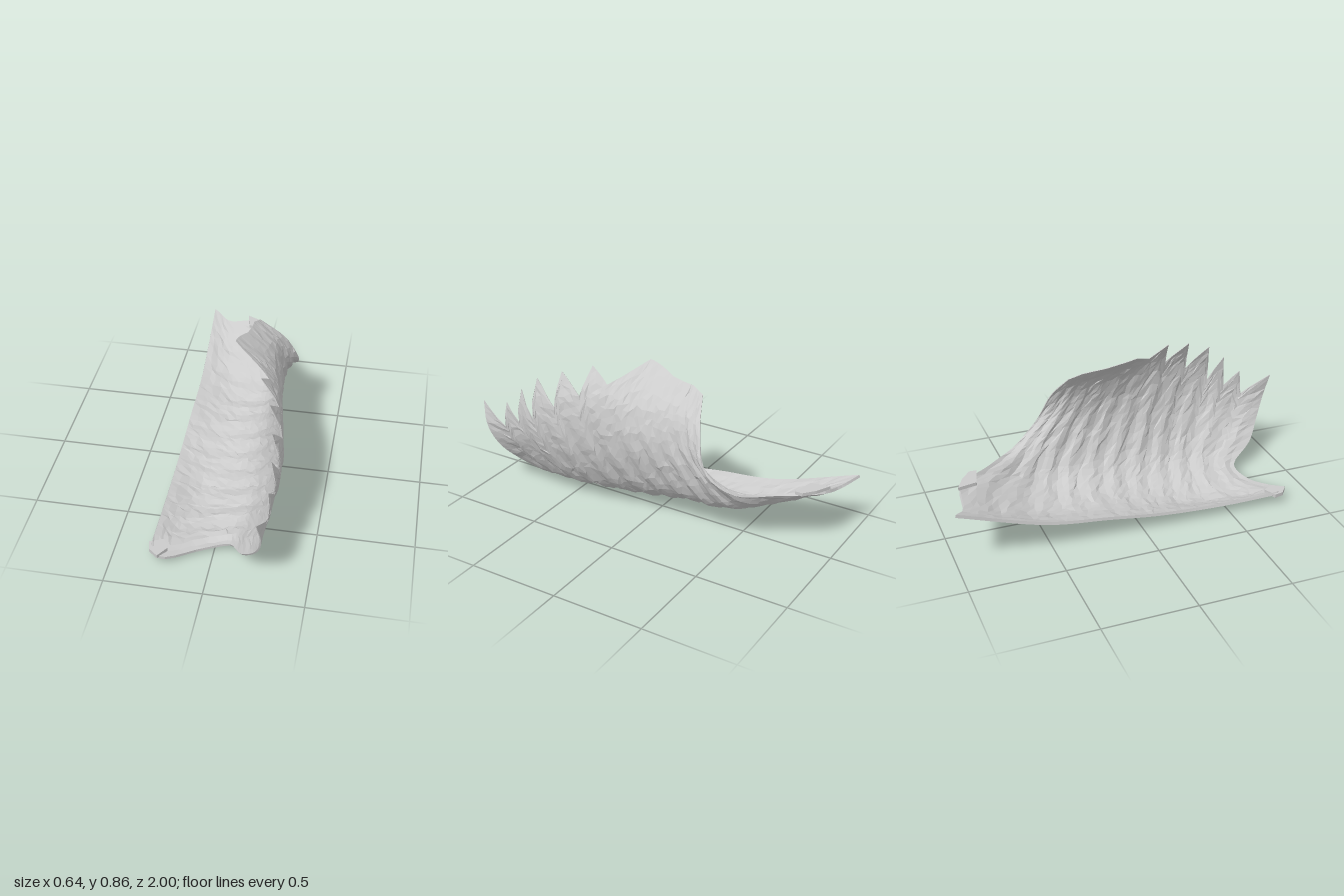
import * as THREE from 'three';

// Cross-sections from front rim to back rim; each runs from the low inner edge out, round and up to the tip
const SECTIONS = [
  [[-.31, .06, .78], [-.25, .04, .84], [-.06, .02, .73], [.08, .05, .70], [.17, .14, .84], [.25, .25, .92], [.28, .37, .97], [.26, .50, 1]],
  [[-.31, .06, .45], [-.15, .005, .40], [0, .035, .40], [.15, .11, .43], [.26, .27, .50], [.31, .44, .56], [.31, .59, .60], [.27, .73, .61]],
  [[-.31, .08, .10], [-.15, .045, .10], [0, .06, .10], [.13, .14, .13], [.23, .32, .20], [.27, .50, .26], [.26, .68, .30], [.17, .83, .32]],
  [[-.31, .12, -.20], [-.15, .09, -.20], [0, .11, -.20], [.12, .18, -.17], [.20, .34, -.10], [.23, .53, -.02], [.18, .70, .04], [0, .86, .07]],
  [[-.31, .17, -.55], [-.15, .13, -.55], [0, .15, -.50], [.12, .20, -.45], [.20, .36, -.35], [.21, .52, -.25], [.17, .67, -.20], [.04, .81, -.17]],
  [[-.32, .32, -1], [-.22, .285, -.94], [-.05, .325, -.91], [.10, .33, -.72], [.22, .34, -.55], [.27, .45, -.41], [.20, .63, -.34], [.07, .77, -.28]],
];

// Jagged upper edge: [position along the sections, reach of the edge], alternating tips and notches
const EDGE = [[0, 1], [.33, .80], [.44, .93], [.62, .79], [.72, .97], [.90, .78], [1, 1], [1.35, .83],
  [1.45, 1], [1.85, .87], [2, 1], [2.35, .91], [2.6, .94], [3, 1], [3.6, .98], [4.3, 1], [5, 1]];

const ROWS = 30;
const THICKNESS = 0.016;

function seeded(seed) {
  return () => (seed = (seed * 16807) % 2147483647) / 2147483647;
}

const curves = SECTIONS.map(s => new THREE.CatmullRomCurve3(s.map(p => new THREE.Vector3(...p)), false, 'centripetal'));

// Point on the smooth sheet: s = 0..5 front to back, v = 0..1 inner edge to tip
function sheetPoint(s, v) {
  const across = new THREE.CatmullRomCurve3(curves.map(c => c.getPoint(v)), false, 'catmullrom', 0.5);
  return across.getPoint(THREE.MathUtils.clamp(s / 5, 0, 1));
}

function sheetNormal(s, v) {
  const e = 0.01;
  const ds = sheetPoint(Math.min(s + e, 5), v).sub(sheetPoint(Math.max(s - e, 0), v));
  const dv = sheetPoint(s, Math.min(v + e, 1)).sub(sheetPoint(s, Math.max(v - e, 0)));
  return ds.cross(dv).normalize();
}

// Columns land exactly on every tip and notch
function makeColumns() {
  const columns = [];
  EDGE.slice(1).forEach(([s1, r1], k) => {
    const [s0, r0] = EDGE[k];
    const n = Math.max(2, Math.round((s1 - s0) / 0.1));
    for (let i = 0; i < n; i++) {
      const t = i / n;
      columns.push([s0 + (s1 - s0) * t, r0 + (r1 - r0) * t]);
    }
  });
  columns.push(EDGE[EDGE.length - 1]);
  return columns;
}

// Thin closed shell: each column is a loop up the outside and back down the inside
function shellGeometry() {
  const rand = seeded(41);
  const columns = makeColumns();
  const positions = [], index = [];
  const loop = 2 * (ROWS + 1);
  columns.forEach(([s, reach], i) => {
    const outer = [], inner = [];
    const endColumn = i === 0 || i === columns.length - 1;
    for (let j = 0; j <= ROWS; j++) {
      const rim = endColumn || j === 0 || j === ROWS;
      const t = j / ROWS + (rim ? 0 : (rand() - 0.5) * 0.02);
      const v = t * (1 - (1 - reach) * t * t);
      const sj = s + (rim ? 0 : (rand() - 0.5) * 0.06);
      const p = sheetPoint(sj, v), n = sheetNormal(sj, v);
      // Shallow feather ridges plus hand-cut unevenness
      const ridge = 0.006 * Math.sin(s * 14 + v * 3) * Math.sin(Math.PI * t);
      p.addScaledVector(n, rim ? 0 : ridge + (rand() - 0.5) * 0.007);
      outer.push(p);
      inner.push(p.clone().addScaledVector(n, -THICKNESS * (1 - 0.8 * t * t)));
    }
    [...outer, ...inner.reverse()].forEach(p => positions.push(p.x, p.y, p.z));
  });
  const quad = (a, b, c, d) => index.push(a, b, c, a, c, d);
  for (let i = 0; i < columns.length - 1; i++) {
    for (let j = 0; j < loop; j++) {
      const k = (j + 1) % loop, a = i * loop, b = a + loop;
      quad(a + j, b + j, b + k, a + k);
    }
  }
  // Close the front and back rims
  const last = (columns.length - 1) * loop;
  for (let j = 0; j < ROWS; j++) {
    const m = loop - 1 - j;
    quad(j, j + 1, m - 1, m);
    quad(last + j, last + m, last + m - 1, last + j + 1);
  }
  const g = new THREE.BufferGeometry();
  g.setAttribute('position', new THREE.Float32BufferAttribute(positions, 3));
  g.setIndex(index);
  g.computeVertexNormals();
  return g;
}

// Small torn flap lying on a rim
function flap(name, outline, y, height, material) {
  const shape = new THREE.Shape(outline.map(([x, z]) => new THREE.Vector2(x, -z)));
  const g = new THREE.ExtrudeGeometry(shape, { depth: height, bevelEnabled: false });
  g.rotateX(-Math.PI / 2);
  const mesh = new THREE.Mesh(g, material);
  mesh.name = name;
  mesh.position.y = y;
  return mesh;
}

export function createModel() {
  const material = new THREE.MeshStandardMaterial({ color: 0xcccccc, flatShading: true, side: THREE.DoubleSide });
  const group = new THREE.Group();
  group.name = 'featheredShell';

  const shell = new THREE.Mesh(shellGeometry(), material);
  shell.name = 'curvedShell';
  group.add(shell);

  group.add(flap('backFlap', [[-.10, -.93], [-.08, -.83], [.04, -.80], [.04, -.84], [-.02, -.89]], .335, .018, material));
  group.add(flap('frontFlap', [[-.32, .76], [-.31, .81], [-.26, .85], [-.22, .79], [-.25, .73]], .05, .02, material));
  return group;
}
